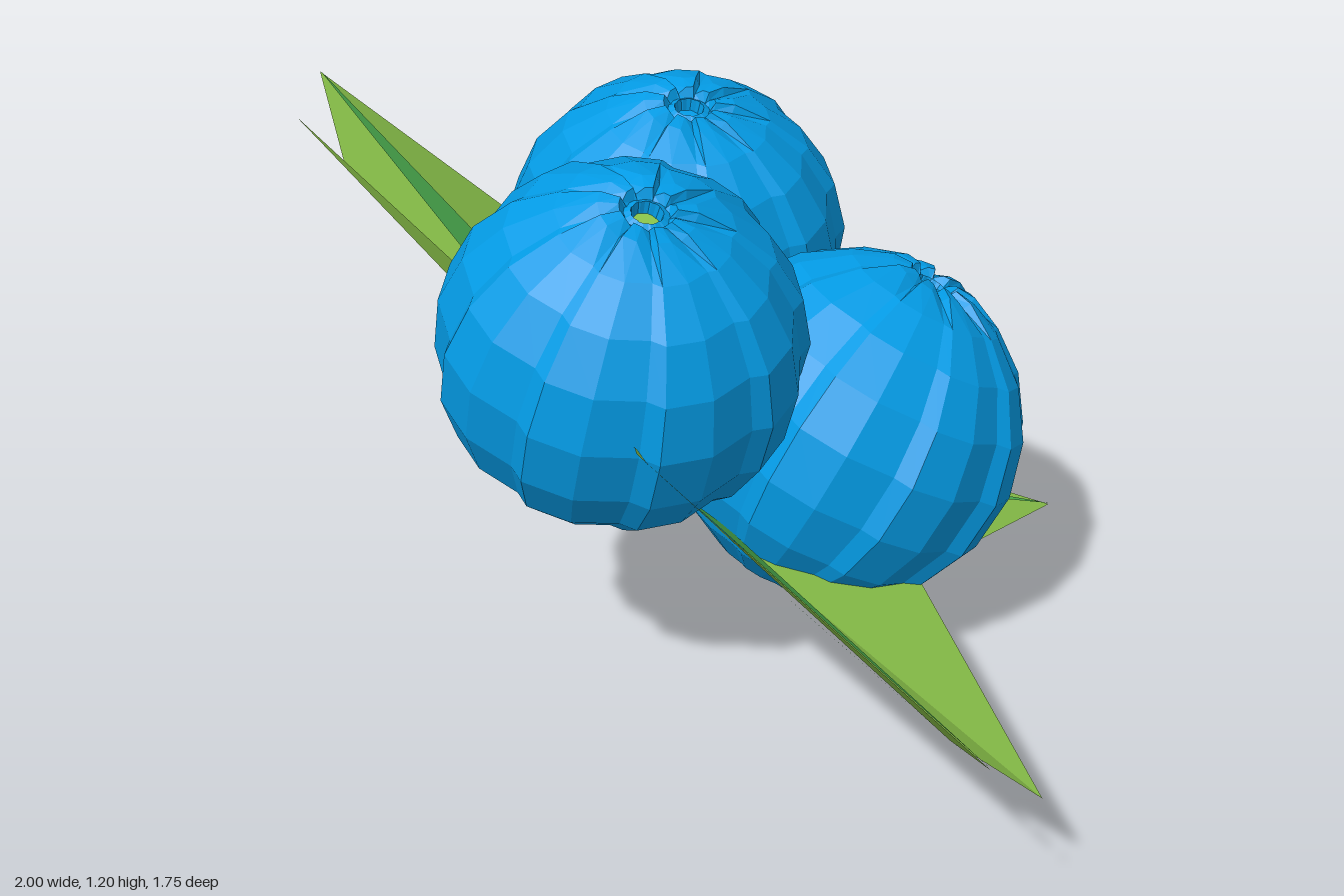
import * as THREE from 'three';

const berryBlue = new THREE.MeshStandardMaterial({ color: 0x039be5 });
berryBlue.name = 'berryBlue';
const leafGreen = new THREE.MeshStandardMaterial({ color: 0x8bc34a, side: THREE.DoubleSide });
leafGreen.name = 'leafGreen';
const veinGreen = new THREE.MeshStandardMaterial({ color: 0x4caf50, side: THREE.DoubleSide });
veinGreen.name = 'veinGreen';

const LOBES = 9;

// Pleated berry body: a lathe whose columns step in and out, with a shallow toothed crown
function berryGeometry(R) {
  const pts = [new THREE.Vector2(0, -R)];
  for (const deg of [-70, -50, -31, -12, 8, 27, 45, 62, 75]) {
    const a = THREE.MathUtils.degToRad(deg);
    pts.push(new THREE.Vector2(R * Math.cos(a), R * Math.sin(a)));
  }
  const crown = pts.length;
  pts.push(new THREE.Vector2(0.056, R * 0.975), new THREE.Vector2(0.045, R * 0.93),
    new THREE.Vector2(0.032, R * 0.95), new THREE.Vector2(0.026, R * 0.86));
  const cols = LOBES * 3;
  const geo = new THREE.LatheGeometry(pts, cols);
  const pos = geo.attributes.position;
  const step = (Math.PI * 2) / cols;
  for (let i = 0; i < pos.count; i++) {
    const col = Math.floor(i / pts.length) % cols, row = i % pts.length;
    const k = col % 3;
    // two wide facets, then a narrow step into the next pleat
    const angle = (col + [0, 0.25, 0.55][k]) * step;
    const r = pts[row].x * [1.012, 1.005, 0.955][k];
    const tooth = row === crown || row === crown - 1 ? [0.006, 0.003, -0.01][k] : 0;
    pos.setXYZ(i, r * Math.sin(angle), pts[row].y + tooth, r * Math.cos(angle));
  }
  const flat = geo.toNonIndexed();
  flat.computeVertexNormals();
  return flat;
}

function makeBerry(name, center, axis, R, discMaterial) {
  const g = new THREE.Group();
  g.name = name;
  const body = new THREE.Mesh(berryGeometry(R), berryBlue);
  body.name = 'berryBody';
  // Small disc at the bottom of the crown hole
  const disc = new THREE.Mesh(new THREE.CircleGeometry(0.028, 7).rotateX(-Math.PI / 2), discMaterial);
  disc.name = 'crownCentre';
  disc.position.y = R * 0.88;
  g.add(body, disc);
  g.position.set(...center);
  g.quaternion.setFromUnitVectors(new THREE.Vector3(0, 1, 0), new THREE.Vector3(...axis).normalize());
  return g;
}

// Flat-faced fan of triangles around the first point
function fan(points, material, name) {
  const out = [];
  for (let i = 1; i < points.length - 1; i++) out.push(...points[0], ...points[i], ...points[i + 1]);
  const geo = new THREE.BufferGeometry();
  geo.setAttribute('position', new THREE.Float32BufferAttribute(out, 3));
  geo.computeVertexNormals();
  const mesh = new THREE.Mesh(geo, material);
  mesh.name = name;
  return mesh;
}

// Leaf outline runs: base, inner corner, shoulder, main tip, notch, second tip, far shoulder
function makeLeaf(name, outline, tip, veinEnds) {
  const g = new THREE.Group();
  g.name = name;
  const lift = ([x, y, z], h) => [x, y + h, z];
  g.add(
    fan(outline, leafGreen, 'leafBlade'),
    fan([lift(tip, 0.003), lift(veinEnds[0], 0.012), lift(veinEnds[1], 0.012)], veinGreen, 'leafVein')
  );
  return g;
}

export function createModel() {
  const model = new THREE.Group();
  model.name = 'berryCluster';

  model.add(
    makeBerry('frontBerry', [-0.03, 0.822, 0.315], [0.105, 0.36, 0.07], 0.373, leafGreen),
    makeBerry('backBerry', [-0.245, 0.74, -0.325], [0.07, 0.37, 0.06], 0.376, berryBlue),
    makeBerry('sideBerry', [0.265, 0.485, -0.145], [0.14, 0.33, -0.125], 0.38, leafGreen)
  );

  const base = [0.02, 0.34, 0.1];
  const tipA = [0.99, 0.5, 0.87], tipB = [-1, 1.09, -0.075], tipC = [0.52, 0, -0.79];
  const frontLeaf = makeLeaf('frontLeaf',
    [base, [-0.12, 0.47, 0.16], [0.17, 0.8, 0.63], [0.21, 0.83, 0.695], tipA,
      [0.82, 0.34, 0.62], [1.0, 0.255, 0.6], [0.5, 0.22, -0.02]],
    tipA, [[0.1, 0.485, 0.3], [0.12, 0.335, 0.15]]);
  // Thin sliver of the vein showing on the underside
  frontLeaf.add(fan([[0.985, 0.495, 0.872], [0.447, 0.47, 0.515], [0.447, 0.482, 0.527]],
    veinGreen, 'undersideVein'));

  model.add(
    frontLeaf,
    makeLeaf('leftLeaf',
      [[-0.03, 0.36, 0.03], [-0.55, 0.64, -0.27], [-0.62, 0.7, -0.31], tipB,
        [-0.84, 0.96, 0.08], [-0.9, 1.09, 0.16], [-0.2, 0.77, 0.38]],
      tipB, [[-0.25, 0.5, -0.05], [-0.25, 0.59, 0.15]]),
    makeLeaf('backLeaf',
      [base, [0.46, 0.22, -0.05], [0.48, 0.17, -0.2], tipC,
        [0.22, 0.09, -0.68], [0.18, 0.08, -0.88], [-0.36, 0.43, -0.42], [-0.38, 0.45, -0.08]],
      tipC, [[0.14, 0.29, -0.16], [0.04, 0.31, -0.2]])
  );
  return model;
}
